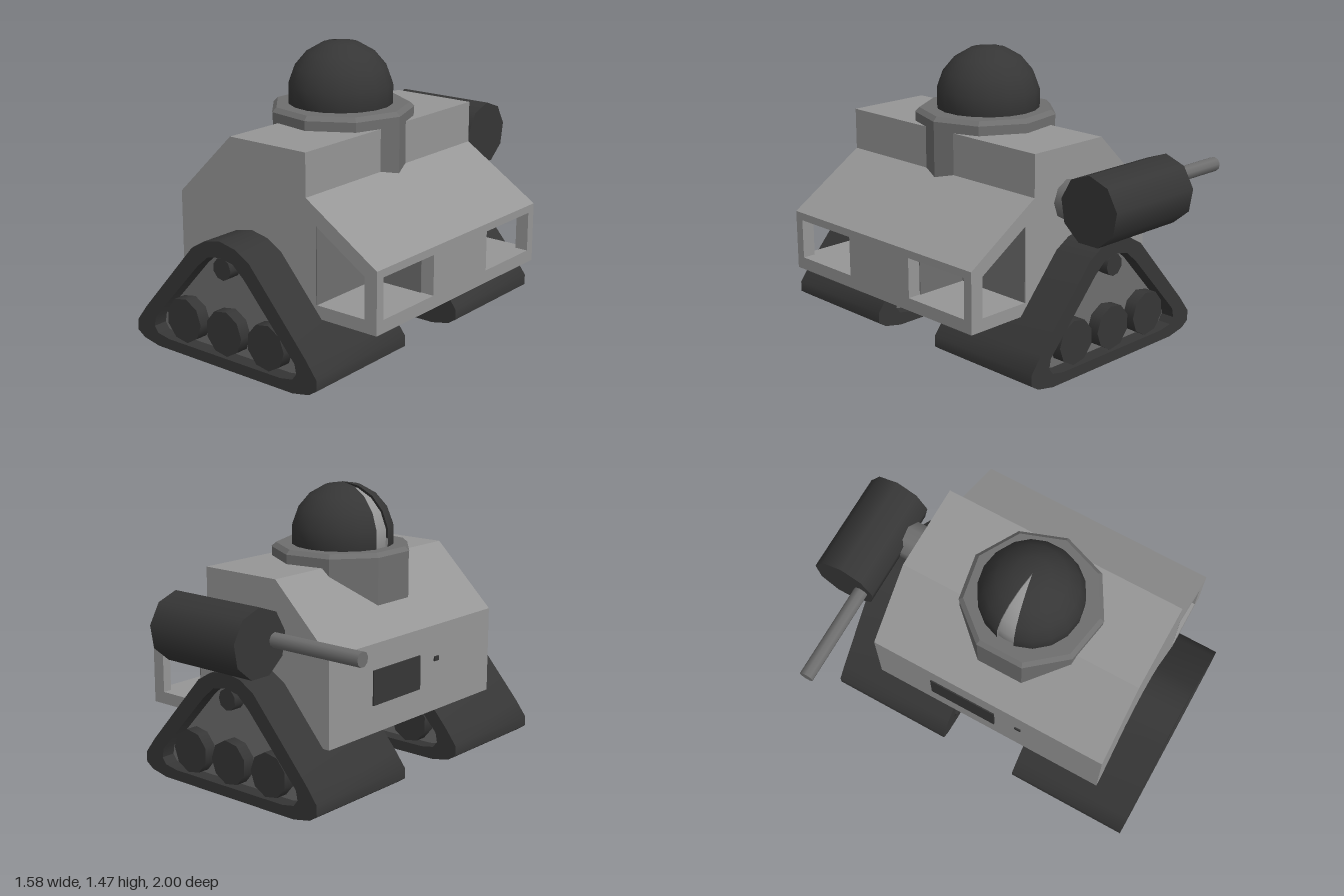
import * as THREE from 'three';
import { toCreasedNormals } from 'three/addons/utils/BufferGeometryUtils.js';

const mat = (name, color, side = THREE.FrontSide) => {
  const m = new THREE.MeshStandardMaterial({ color, side });
  m.name = name;
  return m;
};

export function createModel() {
  const armour = mat('armourGrey', 0x969696);
  const panel = mat('panelGrey', 0x6e6e6e);
  const dark = mat('darkRubber', 0x363636, THREE.DoubleSide);
  const root = new THREE.Group();
  const MID = 0.115; // z of the hull's plane of symmetry

  const add = (name, geo, material, x = 0, y = 0, z = 0, parent = root) => {
    const mesh = new THREE.Mesh(geo, material);
    mesh.name = name;
    mesh.position.set(x, y, z);
    parent.add(mesh);
    return mesh;
  };
  const vecs = (pts) => pts.map(([x, y]) => new THREE.Vector2(x, y));
  // Prism with an x-y outline, running from z0 to z1
  const prism = (pts, z0, z1, hole) => {
    const shape = new THREE.Shape(vecs(pts));
    if (hole) shape.holes.push(new THREE.Path(vecs(hole)));
    const g = new THREE.ExtrudeGeometry(shape, { depth: z1 - z0, bevelEnabled: false });
    return g.translate(0, 0, z0);
  };
  // Nine-sided cylinder with one corner at +x (or at the top when lying along x)
  const nine = (r1, r2, h) => new THREE.CylinderGeometry(r1, r2, h, 9, 1, false, Math.PI / 2);
  const faceted = (g) => {
    const f = g.toNonIndexed();
    f.computeVertexNormals();
    return f;
  };

  // Hull: solid forward part and the middle of the rear compartment
  add('hull', prism([[-0.44, 0.29], [0.43, 0.29], [0.43, 0.827], [0.37, 0.865], [0.37, 1.08],
    [-0.1, 1.08], [-0.44, 0.75]], -0.55, 0.78), armour);
  const rear = [[0.43, 0.29], [0.785, 0.29], [0.785, 0.6], [0.43, 0.827]];
  const opening = [[0.43, 0.355], [0.715, 0.355], [0.715, 0.56], [0.43, 0.74]];
  const roof = [[0.43, 0.74], [0.715, 0.56], [0.785, 0.56], [0.785, 0.6], [0.43, 0.827]];
  const sill = [[0.43, 0.29], [0.785, 0.29], [0.785, 0.355], [0.43, 0.355]];
  // Side frame drawn as one outline around the window, open towards the hull
  const frame = [[0.43, 0.29], [0.785, 0.29], [0.785, 0.6], [0.43, 0.827], [0.43, 0.74],
    [0.715, 0.56], [0.715, 0.355], [0.43, 0.355]];
  add('rearCentre', prism(rear, MID - 0.225, MID + 0.225), armour);

  // Open corner compartments with side and rear windows
  for (const s of [-1, 1]) {
    const span = (a, b) => (s > 0 ? [MID + a, MID + b] : [MID - b, MID - a]);
    const corner = new THREE.Group();
    corner.name = s > 0 ? 'frontCornerBay' : 'backCornerBay';
    root.add(corner);
    add('bayRoof', prism(roof, ...span(0.225, 0.615)), armour, 0, 0, 0, corner);
    add('baySill', prism(sill, ...span(0.225, 0.615)), armour, 0, 0, 0, corner);
    add('sideWindowFrame', prism(frame, ...span(0.615, 0.665)), armour, 0, 0, 0, corner);
    add('bayInnerWall', prism(opening, ...span(0.225, 0.23)), panel, 0, 0, 0, corner);
    add('bayEndWall', new THREE.BoxGeometry(0.005, 0.385, 0.435), panel,
      0.4325, 0.5475, MID + s * 0.4475, corner);
  }

  // Hatch and its knob on the -x face
  add('hatch', new THREE.BoxGeometry(0.008, 0.18, 0.38), dark, -0.443, 0.525, -0.03);
  add('hatchKnob', new THREE.BoxGeometry(0.008, 0.025, 0.035), dark, -0.443, 0.57, 0.3);

  // Turret base, rim and dome
  const TX = 0.042;
  add('turretBase', faceted(nine(0.365, 0.365, 0.53)), panel, TX, 0.865, MID);
  add('turretRim', faceted(nine(0.345, 0.368, 0.022)), panel, TX, 1.14, MID);
  const step = Math.PI / 9;
  add('dome', new THREE.SphereGeometry(0.27, 17, 9, step / 2, 17 * step, 0, Math.PI),
    dark, 0.033, 1.2, MID - 0.005);
  add('domeVisor', new THREE.SphereGeometry(0.258, 1, 9, -step / 2, step, 0, Math.PI),
    armour, 0.033, 1.2, MID - 0.005);

  // Side gun: mount, drum and barrel
  add('gunMount', nine(0.106, 0.106, 0.25).rotateX(Math.PI / 2), panel, 0.13, 0.81, -0.6);
  add('gunDrum', nine(0.174, 0.174, 0.56).rotateZ(Math.PI / 2), dark, 0.02, 0.843, -0.828);
  add('gunBarrel', nine(0.038, 0.038, 0.56).rotateZ(Math.PI / 2), panel, -0.51, 0.843, -0.728);

  // Tracks: half outlines mirrored about x = 0.03
  const CX = 0.03;
  const mirrored = (half) => [
    ...half.map(([x, y]) => [CX + x, y]),
    ...half.filter(([x]) => x > 0).reverse().map(([x, y]) => [CX - x, y]),
  ];
  const outer = mirrored([[0.44, 0], [0.54, 0.02], [0.585, 0.05], [0.585, 0.105], [0.52, 0.19],
    [0.185, 0.57], [0.1, 0.62], [0, 0.64]].reverse());
  const inner = mirrored([[0.365, 0.055], [0.44, 0.068], [0.465, 0.1], [0.455, 0.15],
    [0.15, 0.485], [0.08, 0.545], [0, 0.56]].reverse());
  for (const [name, z] of [['frontTrack', 0.667], ['backTrack', -0.437]]) {
    const track = new THREE.Group();
    track.name = name;
    track.position.z = z;
    root.add(track);
    add('trackBelt', toCreasedNormals(prism(outer, -0.335, 0.335, inner), 0.7), dark, 0, 0, 0, track);
    add('trackPanel', prism(inner, -0.26, 0.26), panel, 0, 0, 0, track);
    for (const x of [-0.267, 0, 0.267]) {
      add('roadWheel', nine(0.115, 0.115, 0.65).rotateX(Math.PI / 2), dark, CX + x, 0.175, 0, track);
    }
    add('returnRoller', nine(0.056, 0.056, 0.65).rotateX(Math.PI / 2), dark, CX, 0.5, 0, track);
  }

  return root;
}
